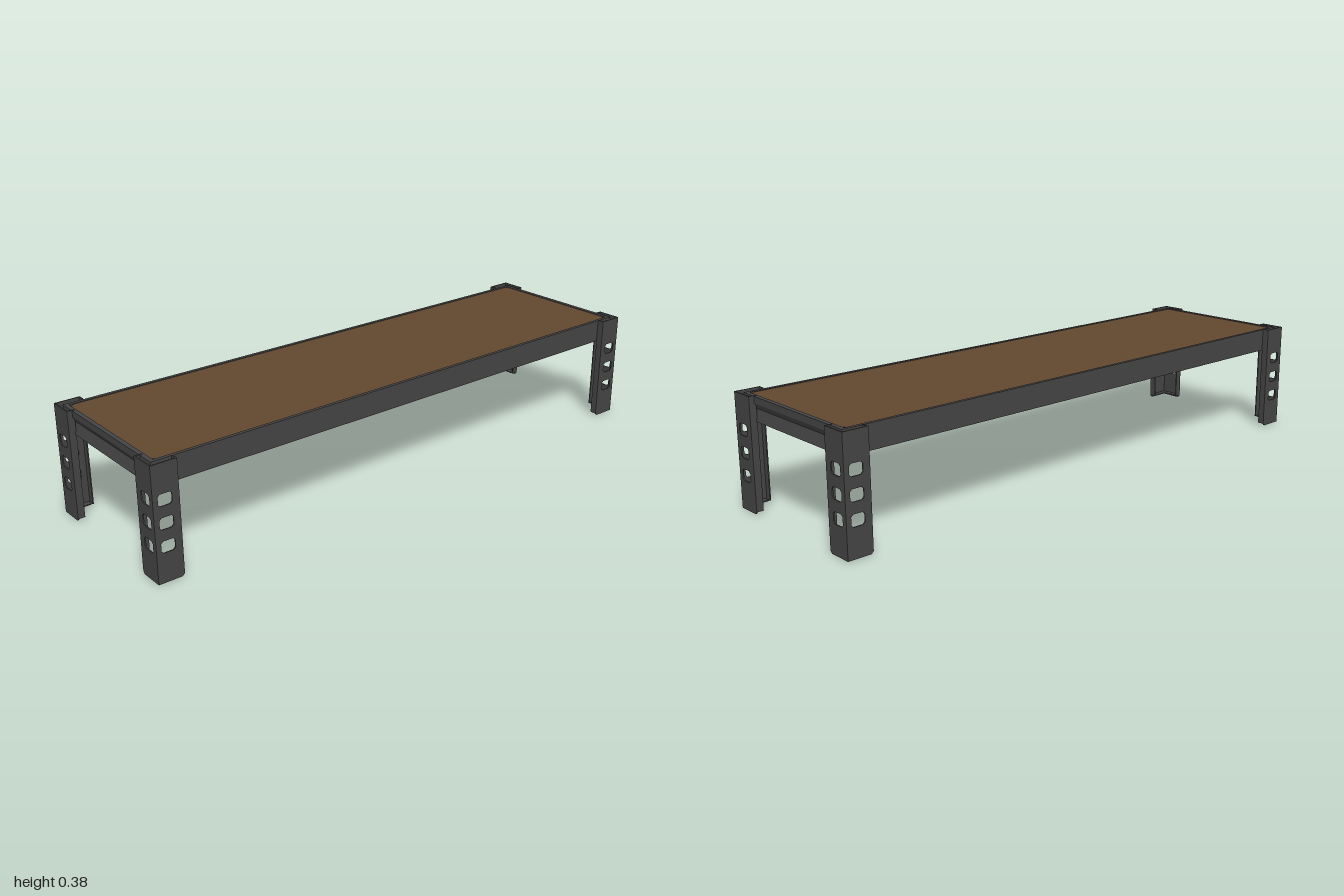
import * as THREE from 'three';

export function createModel() {
  const model = new THREE.Group();
  model.name = 'lowShelf';

  const steel = new THREE.MeshStandardMaterial({ color: 0x444444 });
  steel.name = 'dark grey steel';
  const wood = new THREE.MeshStandardMaterial({ color: 0x62472e });
  wood.name = 'brown board';

  const H = 0.377, W = 0.087, T = 0.004, LIP = 0.024;
  const X = 0.29, Z = 1, BOTTOM = 0.295, TOP = 0.375;

  function add(parent, name, geometry, material, x = 0, y = 0, z = 0) {
    const mesh = new THREE.Mesh(geometry, material);
    mesh.name = name;
    mesh.position.set(x, y, z);
    parent.add(mesh);
    return mesh;
  }
  const box = (parent, name, material, w, h, d, x, y, z) =>
    add(parent, name, new THREE.BoxGeometry(w, h, d), material, x, y, z);

  const polygon = (points, Type = THREE.Shape) =>
    new Type(points.map(([x, y]) => new THREE.Vector2(x, y)));
  const extrude = (shape, depth) =>
    new THREE.ExtrudeGeometry(shape, { depth, bevelEnabled: false });

  // Leg flange running from the outer corner towards side s, with three slots
  function flange(s) {
    const shape = polygon([[0, 0], [s * (W - 0.008), 0], [s * W, 0.008], [s * W, H], [0, H]]);
    const a = 0.023, b = 0.019, c = 0.007;
    for (const y of [0.115, 0.189, 0.263]) {
      const slot = [[-a, c - b], [c - a, -b], [a - c, -b], [a, c - b],
        [a, b - c], [a - c, b], [c - a, b], [-a, b - c]];
      shape.holes.push(polygon(slot.map(([u, v]) => [s * 0.04 + u, y + v]), THREE.Path));
    }
    return extrude(shape, T).translate(0, 0, -T);
  }

  // Four slotted angle legs with folded lips and a small foot
  const corners = [[1, 1], [1, -1], [-1, -1], [-1, 1]];
  corners.forEach(([sx, sz], i) => {
    const leg = new THREE.Group();
    leg.name = 'leg' + (sz > 0 ? 'Front' : 'Back') + (sx > 0 ? 'Left' : 'Right');
    leg.position.set(sx * X, 0, sz * Z);
    leg.rotation.y = i * Math.PI / 2;
    add(leg, 'flange', flange(-1), steel);
    add(leg, 'sideFlange', flange(1).rotateY(Math.PI / 2), steel);
    const h = H - 0.008, y = 0.008 + h / 2;
    box(leg, 'lip', steel, T, h, LIP, T / 2 - W, y, -LIP / 2);
    box(leg, 'sideLip', steel, LIP, h, T, -LIP / 2, y, T / 2 - W);
    const f = W - 0.008;
    box(leg, 'foot', steel, f, 0.004, LIP, -f / 2, 0.01, -LIP / 2);
    box(leg, 'sideFoot', steel, LIP, 0.004, f - LIP, -LIP / 2, 0.01, -(f + LIP) / 2);
    model.add(leg);
  });

  // Grooved end rails
  const profile = polygon([[0.945, BOTTOM], [0.98, BOTTOM], [0.97, 0.333],
    [0.983, 0.353], [0.983, TOP], [0.968, TOP], [0.968, 0.36], [0.945, 0.36]]);
  const endRail = extrude(profile, 0.53).translate(0, 0, -0.265).rotateY(-Math.PI / 2);
  for (const s of [1, -1]) {
    const rail = add(model, s > 0 ? 'frontRail' : 'backRail', endRail, steel);
    if (s < 0) rail.rotation.y = Math.PI;
  }

  // Long side rails
  for (const s of [1, -1]) {
    box(model, s > 0 ? 'leftRail' : 'rightRail', steel,
      0.012, TOP - BOTTOM, 1.95, s * 0.259, (TOP + BOTTOM) / 2, 0);
  }

  // Closed underside and board
  box(model, 'undersidePanel', steel, 0.51, 0.006, 1.93, 0, BOTTOM + 0.003, 0);
  box(model, 'supportPanel', steel, 0.51, 0.02, 1.94, 0, 0.355, 0);
  const bx = 0.252, bz = 0.967, c = 0.012;
  const board = polygon([[-bx, c - bz], [c - bx, -bz], [bx - c, -bz], [bx, c - bz],
    [bx, bz - c], [bx - c, bz], [c - bx, bz], [-bx, bz - c]]);
  add(model, 'board', extrude(board, 0.012).rotateX(-Math.PI / 2), wood, 0, 0.361, 0);

  return model;
}
